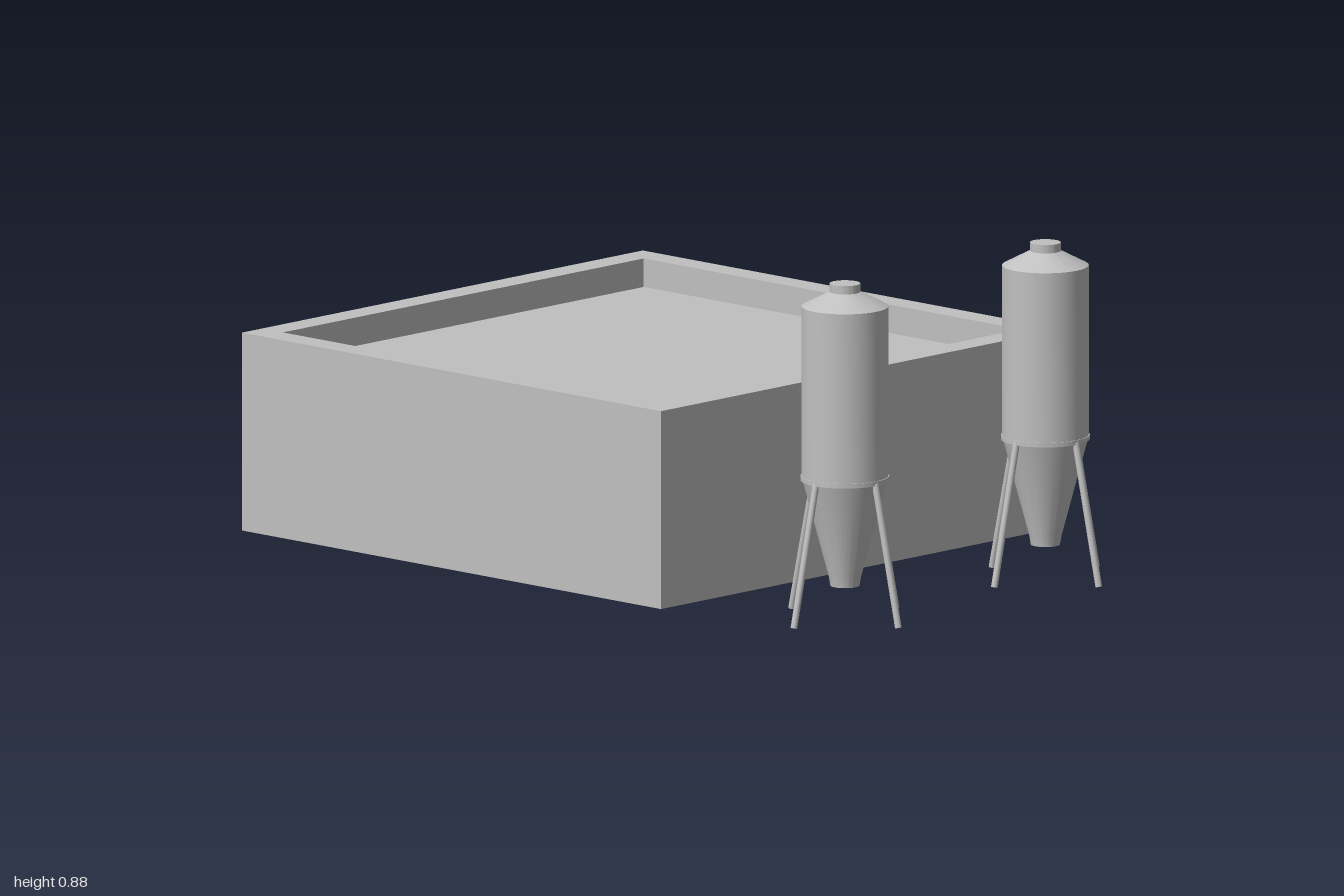
import * as THREE from 'three';
import { toCreasedNormals } from 'three/addons/utils/BufferGeometryUtils.js';

const grey = new THREE.MeshStandardMaterial({ color: 0xc0c0c0 });
grey.name = 'plain grey';

// Sharp-edged solid turned from a bottom-to-top profile of [radius, y]
function turned(name, profile, sides, crease) {
  const points = profile.map(([r, y]) => new THREE.Vector2(r, y));
  const mesh = new THREE.Mesh(toCreasedNormals(new THREE.LatheGeometry(points, sides), crease), grey);
  mesh.name = name;
  return mesh;
}

// Round bar between two points
function bar(name, a, b, radius) {
  const dir = new THREE.Vector3().subVectors(b, a);
  const mesh = new THREE.Mesh(new THREE.CylinderGeometry(radius, radius, dir.length(), 12), grey);
  mesh.position.addVectors(a, b).multiplyScalar(0.5);
  mesh.quaternion.setFromUnitVectors(new THREE.Vector3(0, 1, 0), dir.normalize());
  mesh.name = name;
  return mesh;
}

function createSilo() {
  const silo = new THREE.Group();
  silo.name = 'silo';

  // Outlet, hopper cone, support ring, barrel, sloped roof and lid
  silo.add(turned('siloBody', [
    [0, 0.088], [0.038, 0.088], [0.042, 0.112],
    [0.11, 0.366], [0.115, 0.366], [0.115, 0.378], [0.1125, 0.378],
    [0.1125, 0.825], [0.04, 0.863], [0.04, 0.885], [0, 0.885],
  ], 40, 0.22));

  // Four splayed legs
  for (let i = 0; i < 4; i++) {
    const angle = (i * Math.PI) / 2;
    const at = (r, y) => new THREE.Vector3(r * Math.cos(angle), y, r * Math.sin(angle));
    silo.add(bar('siloLeg', at(0.191, 0.002), at(0.108, 0.372), 0.009));
  }
  return silo;
}

export function createModel() {
  const model = new THREE.Group();
  model.name = 'buildingWithSilos';

  // Square block with a parapet around a sunken flat roof
  const d = Math.SQRT2;
  const building = turned('building', [
    [0, 0.038], [0.75 * d, 0.038], [0.75 * d, 0.56],
    [0.675 * d, 0.56], [0.675 * d, 0.485], [0, 0.485],
  ], 4, 0.2);
  building.rotation.y = Math.PI / 4;
  building.position.x = -0.25;
  model.add(building);

  // Two silos beside the building
  for (const z of [0.375, -0.375]) {
    const silo = createSilo();
    silo.position.set(0.8, 0, z);
    model.add(silo);
  }
  return model;
}
